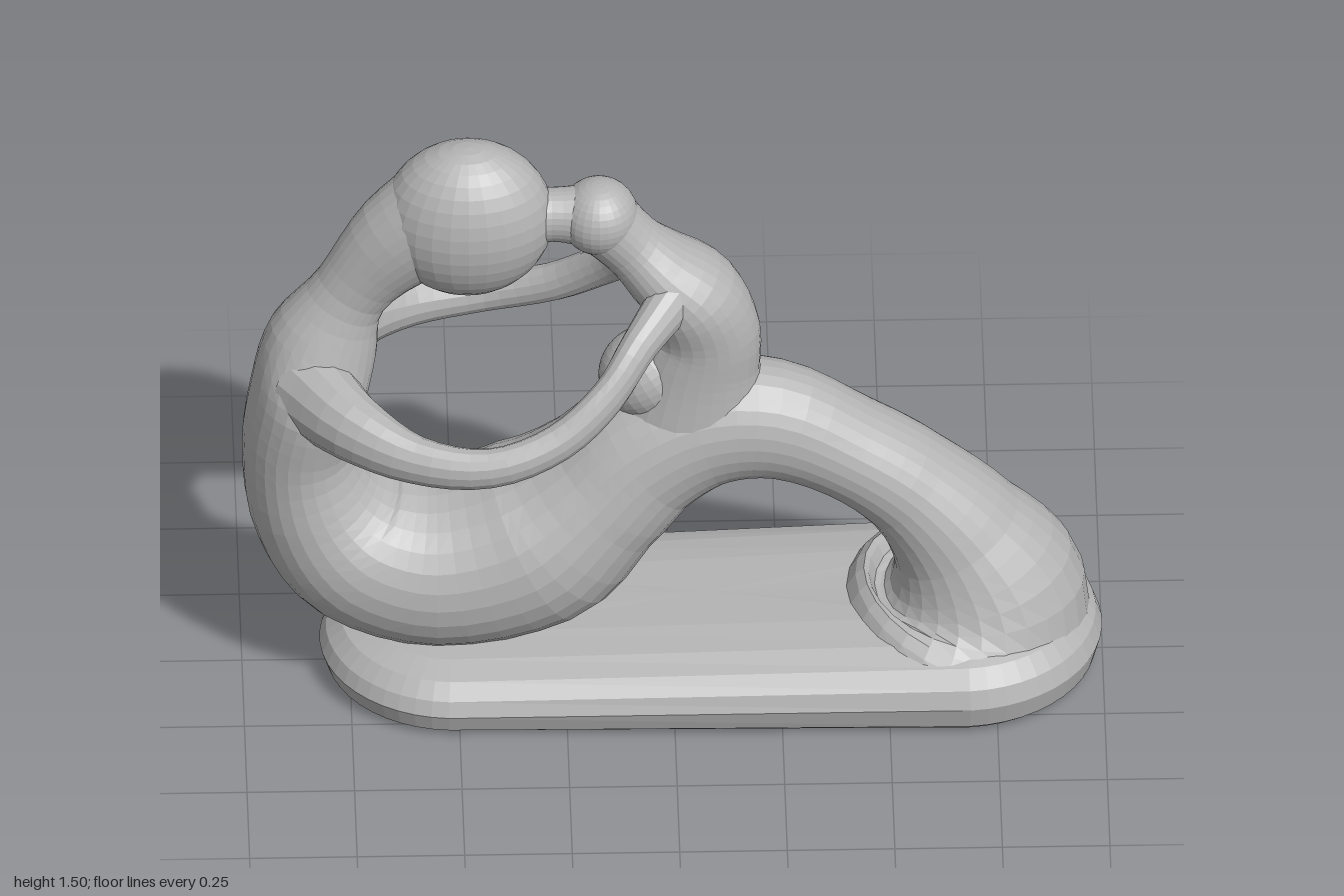
import * as THREE from 'three';

const SIDES = 28;

// Closed skin over a list of rings (each an array of Vector3)
function skin(rings) {
  const n = rings[0].length, pos = [], idx = [];
  rings.forEach(r => r.forEach(p => pos.push(p.x, p.y, p.z)));
  for (let i = 0; i < rings.length - 1; i++) {
    for (let j = 0; j < n; j++) {
      const a = i * n + j, b = i * n + (j + 1) % n;
      idx.push(a, b, a + n, b, b + n, a + n);
    }
  }
  [0, rings.length - 1].forEach((ri, end) => {
    const c = new THREE.Vector3();
    rings[ri].forEach(p => c.addScaledVector(p, 1 / n));
    const ci = pos.length / 3;
    pos.push(c.x, c.y, c.z);
    for (let j = 0; j < n; j++) {
      const a = ri * n + j, b = ri * n + (j + 1) % n;
      if (end) idx.push(ci, a, b); else idx.push(ci, b, a);
    }
  });
  const g = new THREE.BufferGeometry();
  g.setAttribute('position', new THREE.Float32BufferAttribute(pos, 3));
  g.setIndex(idx);
  g.computeVertexNormals();
  return g;
}

// Elliptical sweep; stations are [x, y, z, radius across ref, radius along ref]
function sweep(stations, ref, perStation = 4, sides = SIDES) {
  const path = new THREE.CatmullRomCurve3(stations.map(s => new THREE.Vector3(s[0], s[1], s[2])));
  const size = new THREE.CatmullRomCurve3(stations.map(s => new THREE.Vector3(s[3], s[4], 0)));
  const steps = (stations.length - 1) * perStation, rings = [];
  for (let i = 0; i <= steps; i++) {
    const t = i / steps, c = path.getPoint(t), r = size.getPoint(t), T = path.getTangent(t);
    const u = ref.clone().cross(T).normalize(), v = T.clone().cross(u);
    rings.push(Array.from({ length: sides }, (_, j) => {
      const k = j / sides * Math.PI * 2;
      return c.clone().addScaledVector(u, r.x * Math.cos(k)).addScaledVector(v, r.y * Math.sin(k));
    }));
  }
  return skin(rings);
}

// Rounded plinth: stacked stadium outlines, lower at the left end
function plinth() {
  const levels = [[0.04, 0], [0.015, 0.022], [0, 0.08], [0.015, 0.125], [0.05, 0.165], [0.11, 0.19], [0.2, 0.203]];
  const n = 48;
  return skin(levels.map(([inset, y]) => Array.from({ length: n }, (_, j) => {
    const k = (j + 0.5) / n * Math.PI * 2, right = Math.cos(k) > 0;
    const r = (right ? 0.335 : 0.315) - inset;
    return new THREE.Vector3((right ? 0.665 : -0.505) + r * Math.cos(k), y * (right ? 1 : 0.8), -r * Math.sin(k));
  })));
}

export function createModel() {
  const model = new THREE.Group();
  model.name = 'sculpture';
  const stone = new THREE.MeshStandardMaterial({ color: 0xb4b4b4, flatShading: true });
  stone.name = 'grey stone';
  const Z = new THREE.Vector3(0, 0, 1), Y = new THREE.Vector3(0, 1, 0);

  const add = (name, geometry) => {
    const m = new THREE.Mesh(geometry, stone);
    m.name = name;
    model.add(m);
    return m;
  };
  const ball = (name, x, y, rx, ry, rz) => {
    const m = add(name, new THREE.SphereGeometry(1, 28, 18));
    m.scale.set(rx, ry, rz);
    m.position.set(x, y, 0);
    return m;
  };

  add('base', plinth());

  // Large figure: hair, neck, back, hips, knee and shin in one flowing sweep
  add('motherBody', sweep([
    [-0.50, 1.33, 0, 0.155, 0.12],
    [-0.63, 1.235, 0, 0.125, 0.10],
    [-0.745, 1.09, 0, 0.092, 0.078],
    [-0.81, 0.95, 0, 0.13, 0.12],
    [-0.845, 0.80, 0, 0.135, 0.18],
    [-0.868, 0.64, 0, 0.132, 0.165],
    [-0.825, 0.47, 0, 0.16, 0.18],
    [-0.73, 0.36, 0, 0.195, 0.21],
    [-0.55, 0.31, 0, 0.212, 0.23],
    [-0.32, 0.37, 0, 0.222, 0.23],
    [-0.17, 0.50, 0, 0.185, 0.19],
    [-0.065, 0.61, 0, 0.175, 0.16],
    [0.075, 0.685, 0, 0.163, 0.14],
    [0.23, 0.69, 0, 0.148, 0.13],
    [0.41, 0.605, 0, 0.122, 0.13],
    [0.55, 0.50, 0, 0.128, 0.14],
    [0.66, 0.36, 0, 0.165, 0.17],
    [0.715, 0.215, 0, 0.245, 0.23],
    [0.69, 0.11, 0, 0.30, 0.315],
  ], Z));
  ball('motherHead', -0.475, 1.297, 0.2, 0.203, 0.145);

  // Small figure sitting on the knee
  add('childBody', sweep([
    [0.04, 0.72, 0, 0.18, 0.13],
    [0.06, 0.86, 0, 0.148, 0.118],
    [0.075, 0.96, 0, 0.13, 0.118],
    [0.045, 1.06, 0, 0.115, 0.13],
    [-0.03, 1.14, 0, 0.09, 0.11],
    [-0.10, 1.215, 0, 0.077, 0.08],
    [-0.165, 1.29, 0, 0.085, 0.085],
  ], Z));
  ball('childHead', -0.17, 1.295, 0.092, 0.092, 0.095);
  ball('childLegs', -0.055, 0.835, 0.118, 0.11, 0.105).rotation.z = 0.5;

  // Touching faces
  add('kiss', sweep([
    [-0.38, 1.295, 0, 0.085, 0.08],
    [-0.28, 1.30, 0, 0.066, 0.06],
    [-0.18, 1.295, 0, 0.078, 0.075],
  ], Z));

  // Linked arms forming a ring on both sides
  for (const [name, s] of [['leftArms', 1], ['rightArms', -1]]) {
    add(name, sweep([
      [-0.85, 0.85, 0.06 * s, 0.10, 0.12],
      [-0.74, 0.84, 0.21 * s, 0.075, 0.085],
      [-0.60, 0.815, 0.30 * s, 0.05, 0.06],
      [-0.43, 0.815, 0.335 * s, 0.04, 0.05],
      [-0.27, 0.865, 0.305 * s, 0.038, 0.048],
      [-0.155, 0.955, 0.25 * s, 0.036, 0.048],
      [-0.08, 1.045, 0.175 * s, 0.042, 0.05],
      [0.0, 1.10, 0.07 * s, 0.055, 0.065],
    ], Y, 4, 14));
  }
  return model;
}
